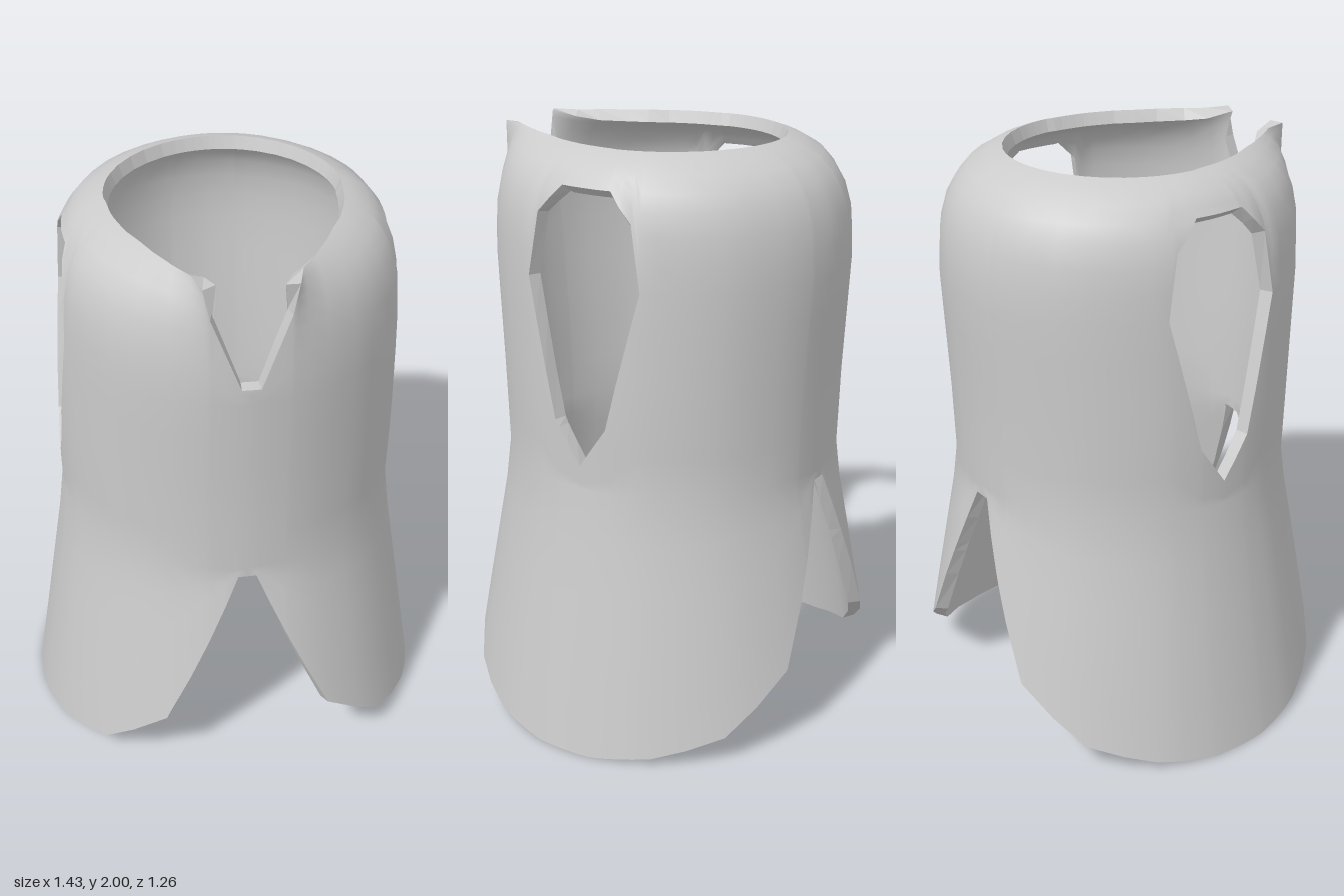
import * as THREE from 'three';
import { mergeVertices } from 'three/addons/utils/BufferGeometryUtils.js';

const THICKNESS = 0.045;

// Piecewise linear lookup through [key, value] pairs
function lookup(points, k) {
  if (k <= points[0][0]) return points[0][1];
  for (let i = 1; i < points.length; i++) {
    const [k0, v0] = points[i - 1], [k1, v1] = points[i];
    if (k <= k1) return v0 + (v1 - v0) * (k - k0) / (k1 - k0);
  }
  return points[points.length - 1][1];
}

// Half-width and half-depth by height
const WIDTH = [[0, 0.715], [0.88, 0.575], [1.2, 0.58], [1.6, 0.572], [2, 0.57]];
const DEPTH = [[0, 0.74], [0.1, 0.73], [0.29, 0.695], [0.88, 0.578], [1.2, 0.587], [1.65, 0.615], [2, 0.61]];
// How far the shoulders have closed in on the neck, by height
const SHOULDER = [[1.6, 0], [1.77, 0.05], [1.85, 0.15], [1.9, 0.28], [1.95, 0.48], [1.985, 0.78], [2, 1]];

// Outlines by angle in degrees, from the side (0) to the centre front or back (90)
const HEM = [[0, 0], [8, 0], [25, 0.03], [44.4, 0.1], [64.7, 0.29], [87, 0.88]];
const ARM_BOTTOM = [[0, 1], [9.5, 1.14], [20.1, 1.6]];
const ARM_TOP = [[9.5, 1.9], [17.2, 1.81], [20.1, 1.6]];
const NECK_FRONT = [[76.5, 2], [78, 1.9], [87, 1.66]];
const NECK_RADIUS = [[10, 0.375], [26, 0.385], [45, 0.41], [60, 0.46], [72, 0.53], [76.5, 0.605]];
const QUADRANT = [0, 4.5, 8, 9.5, 13, 17.2, 20.1, 25, 34, 44.4, 54, 64.7, 72, 76.5, 78, 82.5, 87, 90];

// Columns all the way round, each with its angle folded into one quadrant
function makeColumns() {
  const columns = [];
  for (let q = 0; q < 4; q++) {
    const folded = q % 2 ? [...QUADRANT].reverse() : QUADRANT;
    for (const a of folded.slice(0, -1)) {
      columns.push({ a, sx: q === 0 || q === 3 ? 1 : -1, sz: q < 2 ? 1 : -1 });
    }
  }
  columns.push(columns[0]);
  return columns;
}

function surfacePoint({ a, sx, sz }, y) {
  const t = THREE.MathUtils.degToRad(a);
  const neck = sz > 0 ? lookup(NECK_RADIUS, a) : 0.38;
  const f = lookup(SHOULDER, y);
  const x = THREE.MathUtils.lerp(lookup(WIDTH, y), neck, f) * Math.cos(t);
  const z = THREE.MathUtils.lerp(lookup(DEPTH, y), neck, f) * Math.sin(t);
  return [sx * x, y, sz * z];
}

// Heights of a column: hem to armhole level
function lowerRows({ a }) {
  const hem = lookup(HEM, a), top = lookup(ARM_BOTTOM, a);
  const waist = 0.92;
  const rows = [];
  for (let i = 0; i < 5; i++) rows.push(hem + (waist - hem) * i / 5);
  for (let i = 0; i <= 5; i++) rows.push(waist + (top - waist) * i / 5);
  return rows;
}

// Heights of a column: armhole level over the shoulder to the neck
function upperRows({ a, sz }) {
  const start = lookup(ARM_TOP, a), end = sz > 0 ? lookup(NECK_FRONT, a) : 2;
  return [0, 0.22, 0.43, 0.62, 0.75, 0.87, 0.96, 1].map((s) => start + (end - start) * s);
}

function buildOuter() {
  const columns = makeColumns(), pos = [];
  for (const rowsOf of [lowerRows, upperRows]) {
    const grid = columns.map((c) => rowsOf(c).map((y) => surfacePoint(c, y)));
    for (let i = 0; i < grid.length - 1; i++) {
      for (let j = 0; j < grid[i].length - 1; j++) {
        const p = grid[i][j], q = grid[i][j + 1], r = grid[i + 1][j + 1], s = grid[i + 1][j];
        pos.push(...p, ...q, ...r, ...p, ...r, ...s);
      }
    }
  }
  const geo = new THREE.BufferGeometry();
  geo.setAttribute('position', new THREE.Float32BufferAttribute(pos, 3));
  const merged = mergeVertices(geo, 1e-4);
  merged.computeVertexNormals();
  return merged;
}

export function createModel() {
  const group = new THREE.Group();
  group.name = 'sleevelessTunic';
  const material = new THREE.MeshStandardMaterial({ color: 0xcccccc });
  const add = (name, geometry) => {
    const mesh = new THREE.Mesh(geometry, material);
    mesh.name = name;
    group.add(mesh);
  };

  // Outer cloth
  const outer = buildOuter();
  add('outerCloth', outer);

  // Lining: the outer cloth pushed inwards and turned over
  const lining = outer.clone();
  const p = lining.attributes.position, n = outer.attributes.normal;
  for (let i = 0; i < p.count; i++) {
    p.setXYZ(i,
      p.getX(i) - n.getX(i) * THICKNESS,
      Math.max(0, p.getY(i) - n.getY(i) * THICKNESS),
      p.getZ(i) - n.getZ(i) * THICKNESS);
  }
  const index = Array.from(outer.index.array);
  const flipped = [];
  for (let i = 0; i < index.length; i += 3) flipped.push(index[i], index[i + 2], index[i + 1]);
  lining.setIndex(flipped);
  lining.computeVertexNormals();
  add('lining', lining);

  // Edges of the hem, slits, armholes and neck: a strip along every open border
  const count = p.count, borders = new Set();
  for (let i = 0; i < index.length; i += 3) {
    for (let k = 0; k < 3; k++) {
      const a = index[i + k], b = index[i + (k + 1) % 3];
      if (a === b) continue;
      if (!borders.delete(b * count + a)) borders.add(a * count + b);
    }
  }
  const strip = [];
  const at = (attr, i) => [attr.getX(i), attr.getY(i), attr.getZ(i)];
  for (const key of borders) {
    const a = Math.floor(key / count), b = key % count;
    const o = outer.attributes.position;
    const oa = at(o, a), ob = at(o, b), ia = at(p, a), ib = at(p, b);
    strip.push(...oa, ...ib, ...ob, ...oa, ...ia, ...ib);
  }
  const edges = new THREE.BufferGeometry();
  edges.setAttribute('position', new THREE.Float32BufferAttribute(strip, 3));
  edges.computeVertexNormals();
  add('clothEdges', edges);

  return group;
}
